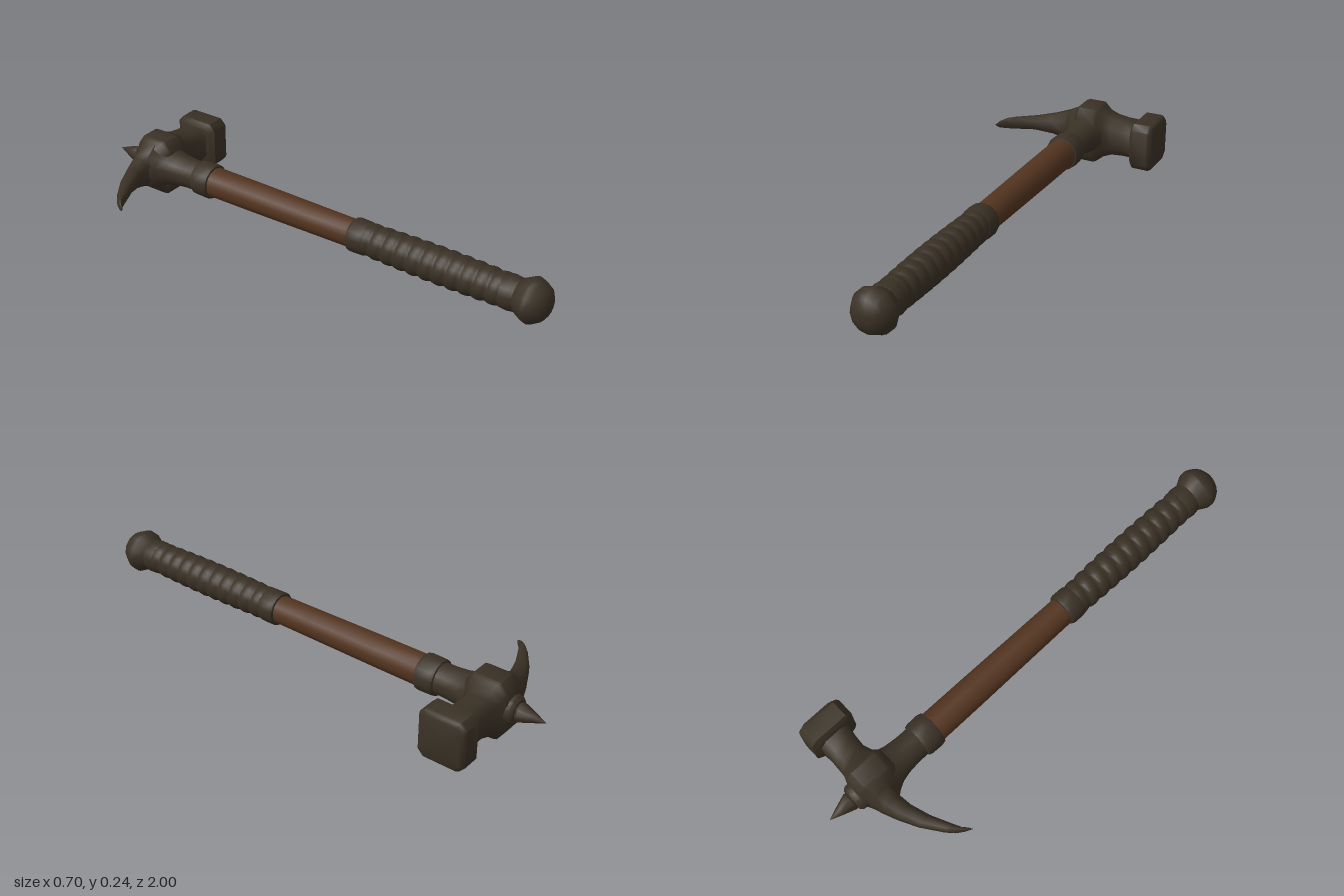
import * as THREE from 'three';
import { mergeVertices, toCreasedNormals } from 'three/addons/utils/BufferGeometryUtils.js';

const AXIS_X = 0.036, AXIS_Y = 0.12; // centre line of the handle, running along z

const metal = new THREE.MeshStandardMaterial({ color: 0x3a3125 });
metal.name = 'darkMetal';
const leather = new THREE.MeshStandardMaterial({ color: 0x393024 });
leather.name = 'gripLeather';
const wood = new THREE.MeshStandardMaterial({ color: 0x53341f });
wood.name = 'wood';

// Turned part: profile of [radius, z], listed from back (-z) to front (+z)
function turned(name, profile, material, sides = 14, crease = 0.7) {
  const lathe = new THREE.LatheGeometry(profile.map(([r, z]) => new THREE.Vector2(r, z)), sides);
  lathe.rotateX(Math.PI / 2);
  const mesh = new THREE.Mesh(toCreasedNormals(lathe, crease), material);
  mesh.name = name;
  mesh.position.set(AXIS_X, AXIS_Y, 0);
  return mesh;
}

// Loft along x through chamfered rectangles: [x, centre z, half height, half depth, chamfer]
function loft(name, sections, material, crease) {
  const positions = [], index = [], n = 8;
  for (const [x, zc, hy, hz, c] of sections) {
    const k = 1 - c;
    const ring = [[1, -k], [1, k], [k, 1], [-k, 1], [-1, k], [-1, -k], [-k, -1], [k, -1]];
    for (const [y, z] of ring) positions.push(x, AXIS_Y + y * hy, zc + z * hz);
  }
  for (let i = 0; i < sections.length - 1; i++) {
    for (let j = 0; j < n; j++) {
      const a = i * n + j, b = i * n + (j + 1) % n;
      index.push(a, b, b + n, a, b + n, a + n);
    }
  }
  const geometry = new THREE.BufferGeometry();
  geometry.setAttribute('position', new THREE.Float32BufferAttribute(positions, 3));
  geometry.setIndex(index);
  const mesh = new THREE.Mesh(toCreasedNormals(geometry, crease), material);
  mesh.name = name;
  return mesh;
}

// Leather strip wound in a helix: radius ripples with angle and length
function wrappedGrip(z0, z1, turns) {
  let geometry = new THREE.CylinderGeometry(1, 1, z1 - z0, 20, turns * 8, true);
  geometry.rotateX(Math.PI / 2);
  geometry.translate(0, 0, (z0 + z1) / 2);
  geometry.deleteAttribute('uv');
  geometry.deleteAttribute('normal');
  const p = geometry.attributes.position;
  for (let i = 0; i < p.count; i++) {
    const angle = Math.atan2(p.getY(i), p.getX(i));
    const t = (p.getZ(i) - z0) / (z1 - z0);
    const ridge = Math.abs(Math.sin(Math.PI * turns * t + angle / 2));
    const r = 0.055 + 0.006 * Math.sin(Math.PI * t) + 0.01 * Math.sqrt(ridge);
    p.setXY(i, r * Math.cos(angle), r * Math.sin(angle));
  }
  geometry = mergeVertices(geometry, 1e-4);
  geometry.computeVertexNormals();
  const mesh = new THREE.Mesh(geometry, leather);
  mesh.name = 'wrappedGrip';
  mesh.position.set(AXIS_X, AXIS_Y, 0);
  return mesh;
}

export function createModel() {
  const model = new THREE.Group();
  model.name = 'warHammer';

  // Handle
  model.add(
    turned('woodenShaft', [[0.062, -0.52], [0.061, -0.3], [0.058, 0], [0.056, 0.22]], wood),
    turned('gripCollar', [[0.05, 0.175], [0.064, 0.178], [0.068, 0.19], [0.067, 0.235], [0.063, 0.25], [0.05, 0.252]], leather),
    wrappedGrip(0.245, 0.85, 11),
    turned('gripEndBand', [[0.05, 0.815], [0.065, 0.82], [0.068, 0.845], [0.064, 0.875], [0.05, 0.885]], leather),
    turned('pommel', [[0.05, 0.86], [0.062, 0.872], [0.086, 0.918], [0.088, 0.93], [0.08, 0.952],
      [0.064, 0.978], [0.04, 0.993], [0.02, 0.999], [0, 1]], metal, 12, 0.9),
  );

  // Socket joining the shaft to the head
  model.add(
    turned('socketCollar', [[0.055, -0.575], [0.068, -0.57], [0.072, -0.555], [0.073, -0.51], [0.069, -0.492], [0.055, -0.488]], metal),
    turned('socketNeck', [[0.115, -0.765], [0.092, -0.735], [0.076, -0.705], [0.067, -0.67], [0.062, -0.62], [0.061, -0.55]], metal, 14, 1.2),
  );

  // Curved pick, central block and hammer neck in one smooth body
  model.add(loft('headBody', [
    [-0.35, -0.645, 0, 0, 0.5],
    [-0.335, -0.664, 0.014, 0.009, 0.5],
    [-0.315, -0.687, 0.021, 0.014, 0.5],
    [-0.285, -0.708, 0.024, 0.02, 0.5],
    [-0.206, -0.754, 0.028, 0.029, 0.5],
    [-0.13, -0.785, 0.043, 0.035, 0.5],
    [-0.075, -0.799, 0.061, 0.042, 0.5],
    [-0.035, -0.797, 0.08, 0.056, 0.5],
    [-0.004, -0.785, 0.112, 0.078, 0.4],
    [0.008, -0.783, 0.118, 0.085, 0.35],
    [0.08, -0.783, 0.118, 0.085, 0.35],
    [0.092, -0.783, 0.112, 0.08, 0.4],
    [0.115, -0.786, 0.094, 0.068, 0.45],
    [0.15, -0.789, 0.081, 0.06, 0.45],
    [0.2, -0.786, 0.075, 0.061, 0.45],
    [0.26, -0.782, 0.072, 0.067, 0.4],
  ], metal, 1.0));

  // Striking face
  model.add(loft('hammerFace', [
    [0.247, -0.778, 0, 0, 0.3],
    [0.247, -0.778, 0.073, 0.07, 0.3],
    [0.252, -0.778, 0.084, 0.08, 0.28],
    [0.264, -0.778, 0.099, 0.095, 0.25],
    [0.332, -0.778, 0.1, 0.095, 0.25],
    [0.343, -0.778, 0.095, 0.09, 0.25],
    [0.35, -0.778, 0.083, 0.079, 0.27],
    [0.35, -0.778, 0, 0, 0.3],
  ], metal, 0.8));

  // Rear spike on its raised seat
  model.add(
    turned('spikeSeat', [[0, -0.892], [0.045, -0.892], [0.056, -0.88], [0.06, -0.845]], metal, 12),
    turned('rearSpike', [[0, -1], [0.02, -0.95], [0.038, -0.9], [0.036, -0.892], [0.026, -0.88]], metal, 8, 0.9),
  );

  return model;
}
